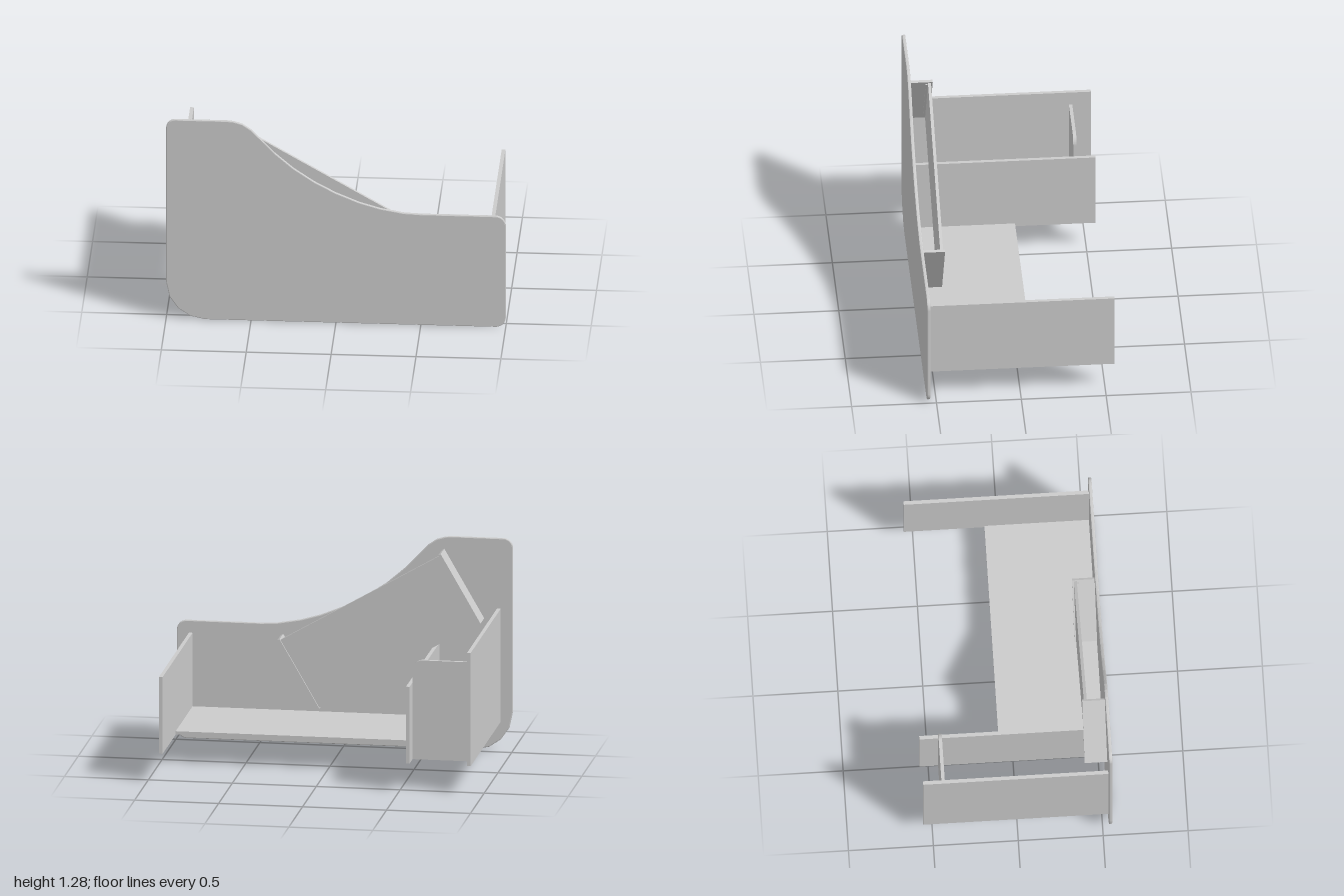
import * as THREE from 'three';

const material = new THREE.MeshStandardMaterial({ color: 0xcccccc, flatShading: true });
const T = 0.022; // panel thickness
const FRONT = 0.535; // back face of the front panel
const BACK = -0.555;

// Box given by its minimum and maximum corners
function box(name, parent, [x0, y0, z0], [x1, y1, z1]) {
  const mesh = new THREE.Mesh(new THREE.BoxGeometry(x1 - x0, y1 - y0, z1 - z0), material);
  mesh.name = name;
  mesh.position.set((x0 + x1) / 2, (y0 + y1) / 2, (z0 + z1) / 2);
  parent.add(mesh);
  return mesh;
}

function extrude(name, parent, shape, z, options) {
  const mesh = new THREE.Mesh(new THREE.ExtrudeGeometry(shape, options), material);
  mesh.name = name;
  mesh.position.z = z;
  parent.add(mesh);
  return mesh;
}

// Outline with a high shoulder sweeping down to a low side
function frontShape() {
  const s = new THREE.Shape();
  s.moveTo(-0.77, 0);
  s.lineTo(0.94, 0);
  s.absarc(0.94, 0.06, 0.06, -Math.PI / 2, 0, false);
  s.absarc(0.94, 0.655, 0.06, 0, Math.PI / 2, false);
  const sweep = [[0.5, 0.715], [0.4, 0.72], [0.26, 0.745], [0.14, 0.78], [0, 0.838], [-0.13, 0.908],
    [-0.25, 0.99], [-0.36, 1.085], [-0.44, 1.17], [-0.5, 1.232], [-0.55, 1.266], [-0.6, 1.281], [-0.64, 1.285]];
  sweep.forEach(([x, y]) => s.lineTo(x, y));
  s.absarc(-0.945, 1.23, 0.055, Math.PI / 2, Math.PI, false);
  [[-1, 0.235], [-0.98, 0.14], [-0.93, 0.068], [-0.86, 0.02]].forEach(([x, y]) => s.lineTo(x, y));
  s.closePath();
  return s;
}

// Short cross board with one rounded upper corner
function crossShape(x0, x1, y0, y1, r) {
  const s = new THREE.Shape();
  s.moveTo(x0, y0);
  s.lineTo(x1, y0);
  s.absarc(x1 - r, y1 - r, r, 0, Math.PI / 2, false);
  s.lineTo(x0, y1);
  s.closePath();
  return s;
}

export function createModel() {
  const model = new THREE.Group();
  model.name = 'deskPanels';

  // Front panel with softened edges
  const bevel = 0.005;
  extrude('frontPanel', model, frontShape(), FRONT + bevel, {
    depth: 0.01, bevelThickness: bevel, bevelSize: bevel, bevelOffset: -bevel, bevelSegments: 2, curveSegments: 8,
  });

  // Upright panels running back from the front: centre x and top height
  [['tallSidePanel', -0.918, 0.86], ['dividerPanel', -0.554, 0.64], ['lowSidePanel', 0.917, 0.64]]
    .forEach(([name, x, top]) => box(name, model, [x - T / 2, 0.175, BACK], [x + T / 2, top, FRONT]));

  // Shelf between divider and low side
  box('shelf', model, [-0.543, 0.175, -0.08], [0.906, 0.195, FRONT]);

  // Cross board closing the narrow bay
  extrude('crossBoard', model, crossShape(-0.907, -0.565, 0.175, 0.775, 0.06), -0.445,
    { depth: 0.02, bevelEnabled: false, curveSegments: 6 });

  // Tilted board held between two brackets
  const tilted = new THREE.Group();
  tilted.name = 'tiltedBoardAssembly';
  tilted.position.set(-0.225, 0.723, 0);
  tilted.rotation.z = -Math.PI / 6;
  model.add(tilted);
  const half = 0.554, h = 0.2375, t = 0.008;
  box('tiltedBoard', tilted, [-half + t, -h + 0.005, 0.412], [half - t, h - 0.008, 0.43]);
  for (const side of [-1, 1]) {
    const x = side * half;
    box('boardBracket', tilted, [x - t, -h, 0.402], [x + t, h, FRONT]);
    // Narrow rail on the bracket's inner face, behind the board
    const inner = x - side * (t + 0.003);
    box('bracketRail', tilted, [inner - 0.003, -h + 0.02, 0.43], [inner + 0.003, h - 0.02, 0.443]);
  }
  return model;
}
